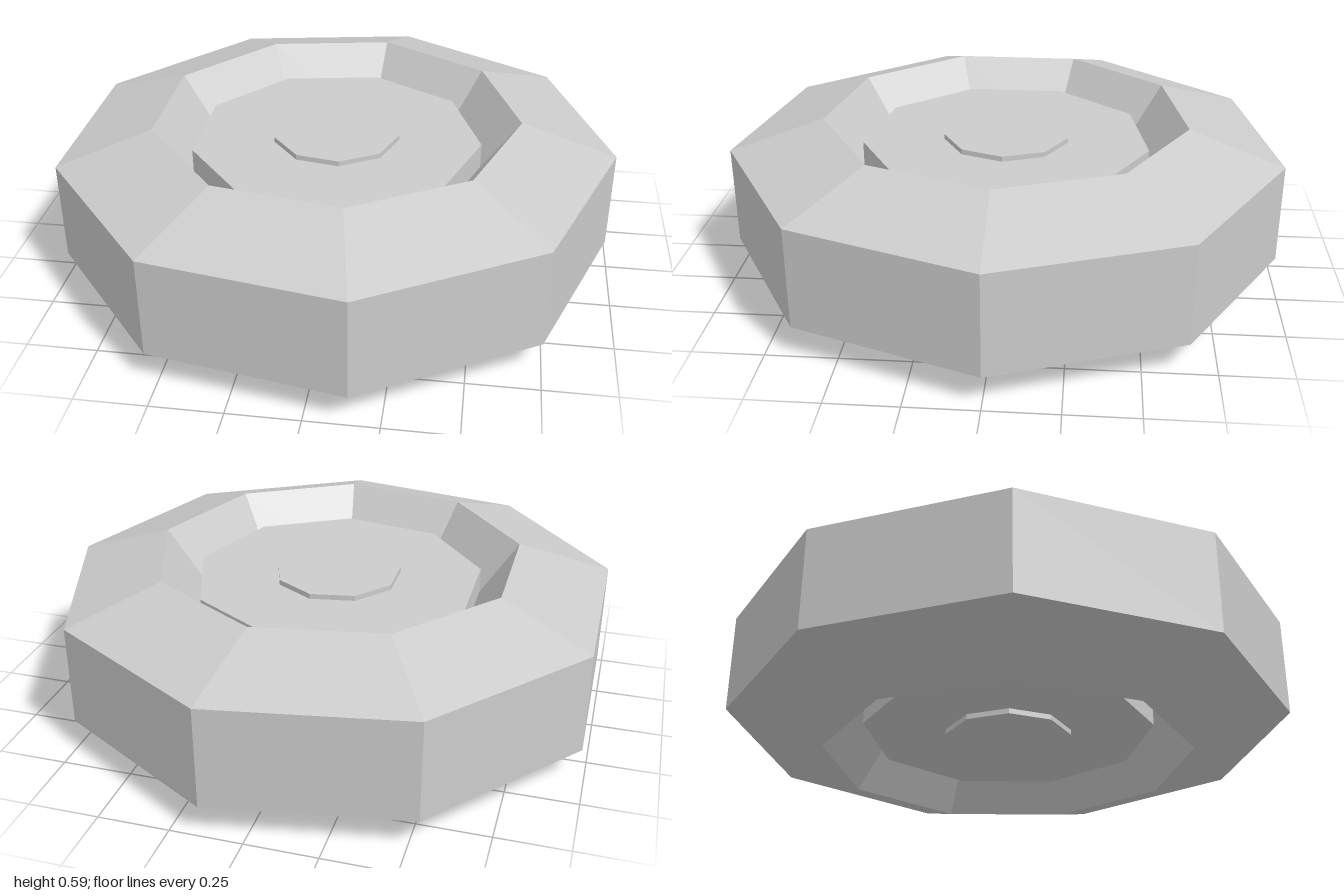
import * as THREE from 'three';

const SIDES = 9;
const MID = 0.2935; // height of the wheel's mid plane

export function createModel() {
  const model = new THREE.Group();
  const material = new THREE.MeshStandardMaterial({ color: 0xcccccc, flatShading: true });

  const add = (name, geometry, y) => {
    geometry.rotateY(Math.PI / 2); // one corner points to +x
    const mesh = new THREE.Mesh(geometry, material);
    mesh.name = name;
    mesh.position.y = y;
    model.add(mesh);
  };

  // Tyre: a regular pentagon, flat side outward, swept round nine sides
  const ringRadius = 0.7658, tubeRadius = 0.3086;
  const profile = [];
  for (let i = 0; i <= 5; i++) {
    const a = (-36 + i * 72) * Math.PI / 180;
    profile.push(new THREE.Vector2(ringRadius + tubeRadius * Math.cos(a), tubeRadius * Math.sin(a)));
  }
  add('tyre', new THREE.LatheGeometry(profile, SIDES), MID);

  // Hub disc filling the middle, with a thin raised cap on both faces
  const hubHalf = 0.196, capHeight = 0.019;
  add('hub', new THREE.CylinderGeometry(0.532, 0.532, hubHalf * 2, SIDES), MID);
  for (const [name, side] of [['topCap', 1], ['bottomCap', -1]]) {
    add(name, new THREE.CylinderGeometry(0.232, 0.232, capHeight * 2, SIDES), MID + side * hubHalf);
  }

  // Centre the odd-sided outline on x
  for (const part of model.children) part.position.x = -0.03;
  return model;
}
